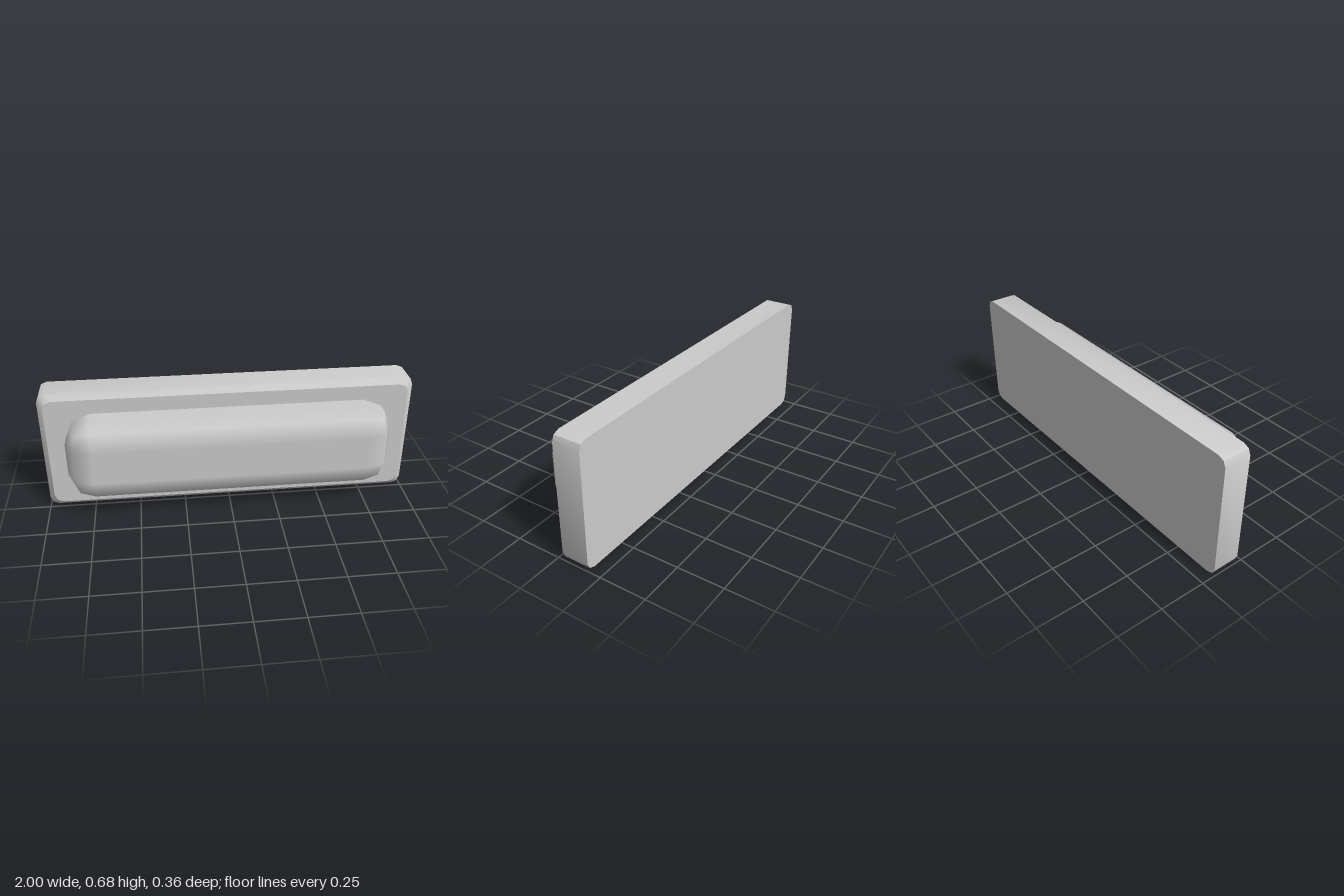
import * as THREE from 'three';
import { toCreasedNormals } from 'three/addons/utils/BufferGeometryUtils.js';
import { RoundedBoxGeometry } from 'three/addons/geometries/RoundedBoxGeometry.js';

const WIDTH = 2, HEIGHT = 0.683, CORNER = 0.045;
const CENTRE_Y = HEIGHT / 2;

// Rounded rectangle, two facets per corner, anticlockwise seen from the front
function ring(inset, z) {
  const points = [];
  const cx = WIDTH / 2 - inset - CORNER, cy = HEIGHT / 2 - inset - CORNER;
  [[1, 1], [-1, 1], [-1, -1], [1, -1]].forEach(([sx, sy], corner) => {
    for (let i = 0; i <= 2; i++) {
      const a = (corner + i / 2) * Math.PI / 2;
      points.push([sx * cx + CORNER * Math.cos(a), sy * cy + CORNER * Math.sin(a), z]);
    }
  });
  return points;
}

// Joins rings from back to front and closes both ends
function loft(rings) {
  const n = rings[0].length, last = rings.length - 1;
  const positions = [];
  const triangle = (a, b, c) => positions.push(...a, ...b, ...c);
  for (let i = 0; i < n; i++) {
    const j = (i + 1) % n;
    for (let r = 0; r < last; r++) {
      triangle(rings[r][i], rings[r][j], rings[r + 1][j]);
      triangle(rings[r][i], rings[r + 1][j], rings[r + 1][i]);
    }
    triangle([0, 0, rings[0][0][2]], rings[0][j], rings[0][i]);
    triangle([0, 0, rings[last][0][2]], rings[last][i], rings[last][j]);
  }
  const geometry = new THREE.BufferGeometry();
  geometry.setAttribute('position', new THREE.Float32BufferAttribute(positions, 3));
  return toCreasedNormals(geometry, 0.6);
}

export function createModel() {
  const model = new THREE.Group();
  const material = new THREE.MeshStandardMaterial({ color: 0xcccccc });

  // Backing plate with a chamfered front rim
  const plate = new THREE.Mesh(loft([ring(0, -0.18), ring(0, -0.03), ring(0.03, 0)]), material);
  plate.name = 'backPlate';
  plate.position.y = CENTRE_Y;
  model.add(plate);

  // Cushion-shaped raised cover, its rear sunk into the plate
  const radius = 0.14, squash = 0.11 / radius, front = 0.18, back = -0.13;
  const coverGeometry = new RoundedBoxGeometry(1.74, 0.462, (front - back) / squash, 1, radius);
  coverGeometry.scale(1, 1, squash);
  const cover = new THREE.Mesh(coverGeometry, material);
  cover.name = 'raisedCover';
  cover.position.set(0, CENTRE_Y, (front + back) / 2);
  model.add(cover);

  return model;
}
